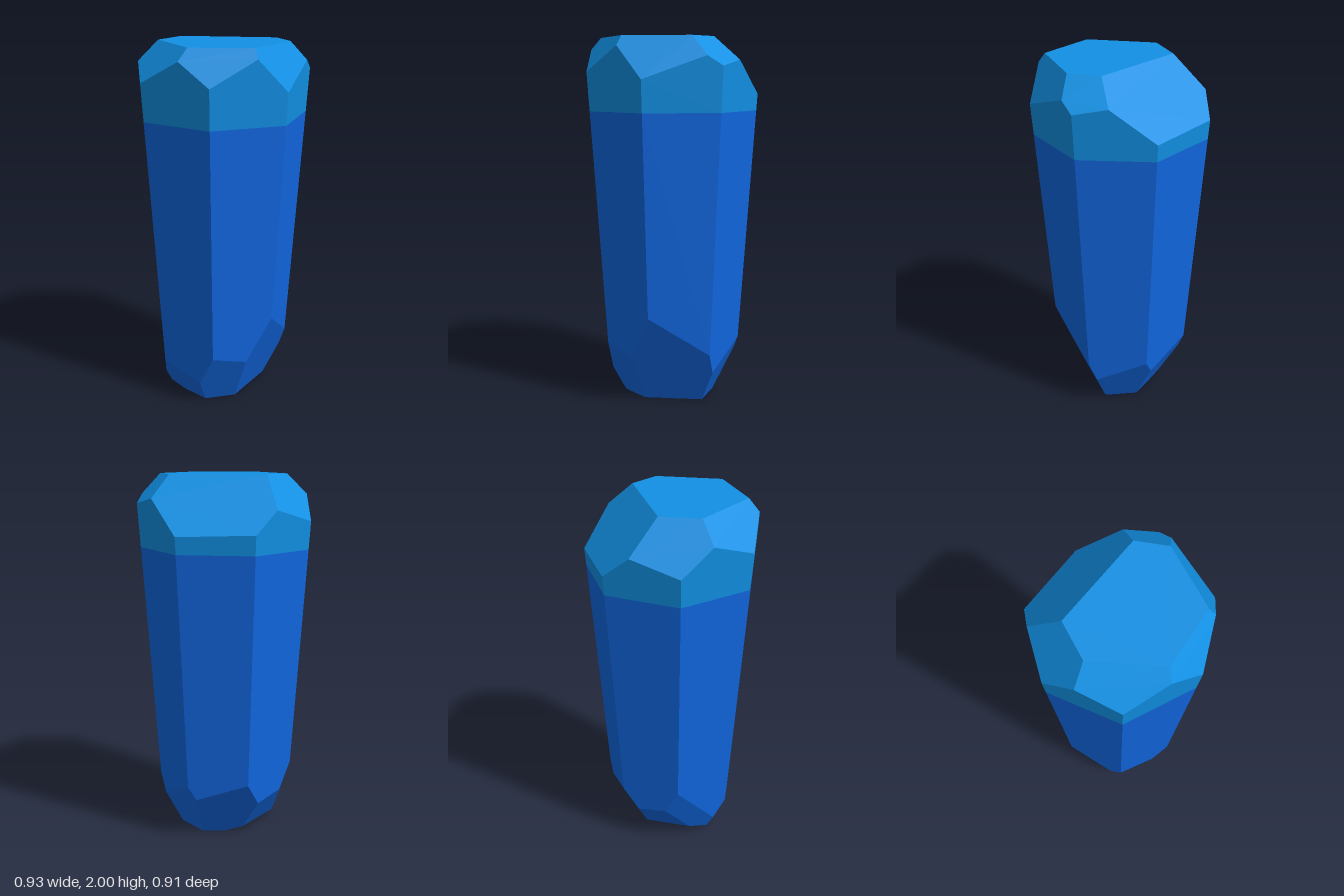
import * as THREE from 'three';

const V = (x, y, z) => new THREE.Vector3(x, y, z);
const facet = (normal, point) =>
  new THREE.Plane().setFromNormalAndCoplanarPoint(V(...normal).normalize(), V(...point));

// Keep the part of a polygon behind a plane
function clip(poly, plane) {
  const out = [];
  poly.forEach((a, i) => {
    const b = poly[(i + 1) % poly.length];
    const da = plane.distanceToPoint(a), db = plane.distanceToPoint(b);
    if (da <= 0) out.push(a);
    if ((da < 0 && db > 0) || (da > 0 && db < 0)) out.push(a.clone().lerp(b, da / (da - db)));
  });
  return out;
}

// The face of one plane, bounded by all the other planes
function cutFace(plane, others) {
  const n = plane.normal;
  const u = (Math.abs(n.y) > 0.9 ? V(1, 0, 0) : V(0, 1, 0)).cross(n).normalize();
  const v = n.clone().cross(u);
  const c = n.clone().multiplyScalar(-plane.constant);
  let poly = [[-5, -5], [5, -5], [5, 5], [-5, 5]].map(([s, t]) =>
    c.clone().addScaledVector(u, s).addScaledVector(v, t));
  for (const other of others) if (other !== plane) poly = clip(poly, other);
  return poly;
}

// Flat-faced solid from cutting planes; the limit plane trims but adds no face
function cutStone(planes, limit) {
  const positions = [];
  for (const plane of planes) {
    const p = cutFace(plane, [...planes, limit]);
    for (let i = 1; i < p.length - 1; i++)
      for (const q of [p[0], p[i], p[i + 1]]) positions.push(q.x, q.y, q.z);
  }
  const geometry = new THREE.BufferGeometry();
  geometry.setAttribute('position', new THREE.Float32BufferAttribute(positions, 3));
  geometry.computeVertexNormals();
  return geometry;
}

export function createModel() {
  const planes = [];

  // Seven long sides, widening upwards
  const SIDES = 7, baseRadius = 0.361, flare = 0.0656, centreZ = 0.018;
  const k = Math.cos(Math.PI / SIDES);
  for (let i = 0; i < SIDES; i++) {
    const a = ((i + 0.5) / SIDES) * Math.PI * 2;
    const r = baseRadius * k;
    planes.push(facet([Math.sin(a), -flare * k, -Math.cos(a)],
      [Math.sin(a) * r, 0, centreZ - Math.cos(a) * r]));
  }

  // Flat top and its six bevels
  planes.push(
    facet([0, 1, 0], [0, 2, 0]),
    facet([-0.404, 0.97, -0.914], [-0.275, 2, -0.015]),
    facet([0.6, 0.99, -0.8], [0.2, 2, -0.225]),
    facet([1, 0.568, 0], [0.34, 2, 0]),
    facet([0.483, 0.665, 0.876], [0.05, 2, 0.4]),
    facet([-0.524, 0.94, 0.852], [0.05, 2, 0.4]),
    facet([-1, 0.79, 0], [-0.275, 2, 0]),
  );

  // Flat base and its irregular bevels
  planes.push(
    facet([0, -1, 0], [0, 0, 0]),
    facet([0.029, -0.017, 0.0276], [0.07, 0.12, 0.343]),
    facet([-0.0047, -0.0148, 0.0282], [0.07, 0.12, 0.343]),
    facet([1, -0.394, 0], [0.18, 0, 0]),
    facet([0.268, -0.435, -0.964], [0, 0, -0.22]),
    facet([-0.039, -0.034, -0.0565], [0, 0, -0.22]),
    facet([-0.0416, -0.0274, -0.0047], [-0.235, 0.05, 0.156]),
    facet([-0.044, -0.0155, 0.0164], [-0.377, 0.4, 0.104]),
    facet([-0.35, -0.94, 0], [-0.1, 0, 0]),
  );

  const deepBlue = new THREE.MeshStandardMaterial({ color: 0x1167e0 });
  deepBlue.name = 'deepBlue';
  const lightBlue = new THREE.MeshStandardMaterial({ color: 0x1190e4 });
  lightBlue.name = 'lightBlue';

  // Body and tip share the facets and meet at one height
  const seam = 1.61;
  const body = new THREE.Mesh(cutStone(planes, facet([0, 1, 0], [0, seam, 0])), deepBlue);
  body.name = 'crystalBody';
  const tip = new THREE.Mesh(cutStone(planes, facet([0, -1, 0], [0, seam, 0])), lightBlue);
  tip.name = 'crystalTip';

  const group = new THREE.Group();
  group.name = 'crystal';
  group.add(body, tip);
  return group;
}
